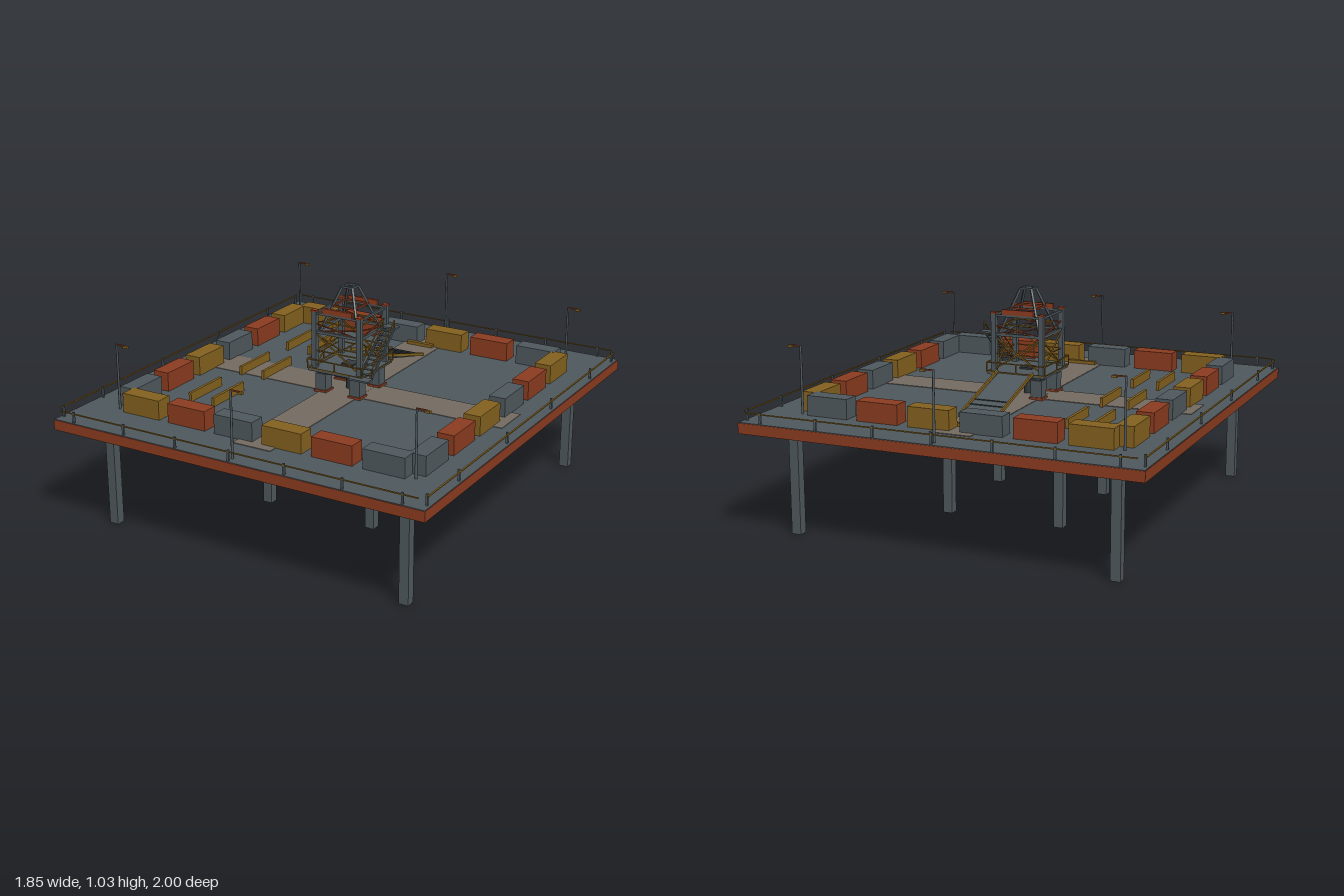
import * as THREE from 'three';

const mat = (name, color) => {
  const m = new THREE.MeshStandardMaterial({ color });
  m.name = name;
  return m;
};

export function createModel() {
  const slate = mat('slate steel', 0x4f595e);
  const rust = mat('rust paint', 0x8c3c20);
  const ochre = mat('ochre paint', 0x85621f);
  const tan = mat('tan walkway', 0x746b61);
  const dark = mat('dark steel', 0x33393c);

  const root = new THREE.Group();
  root.name = 'offshorePlatform';
  const group = (name) => {
    const g = new THREE.Group();
    g.name = name;
    root.add(g);
    return g;
  };
  const add = (g, name, geo, m) => {
    const mesh = new THREE.Mesh(geo, m);
    mesh.name = name;
    g.add(mesh);
    return mesh;
  };
  // Box given by size and centre
  const box = (g, name, m, w, h, d, x, y, z) => {
    const mesh = add(g, name, new THREE.BoxGeometry(w, h, d), m);
    mesh.position.set(x, y, z);
    return mesh;
  };
  // Square bar between two points
  const bar = (g, name, m, a, b, t, w = t) => {
    const A = new THREE.Vector3(...a), B = new THREE.Vector3(...b);
    const mesh = add(g, name, new THREE.BoxGeometry(w, t, A.distanceTo(B)), m);
    mesh.position.copy(A).lerp(B, 0.5);
    mesh.lookAt(B);
    return mesh;
  };
  const signs = [-1, 1];
  const corners = [[-1, -1], [1, -1], [1, 1], [-1, 1]];
  const sides = corners.map((c, i) => [c, corners[(i + 1) % 4]]);
  const top = 0.53;

  // Deck with its walkways and under-beams
  const deck = group('deck');
  box(deck, 'deckHull', rust, 1.85, 0.047, 2, 0, 0.5035, 0);
  box(deck, 'deckPlate', slate, 1.845, 0.004, 1.995, 0, 0.528, 0);
  box(deck, 'walkwayAlong', tan, 0.19, 0.003, 1.64, 0, 0.5315, 0);
  box(deck, 'walkwayAcross', tan, 1.64, 0.0025, 0.19, 0, 0.53125, 0);
  for (const i of [-1, 0, 1]) {
    box(deck, 'underBeamAlong', slate, 0.02, 0.01, 1.84, i * 0.55, 0.475, 0);
    box(deck, 'underBeamAcross', slate, 1.7, 0.01, 0.02, 0, 0.4745, i * 0.6);
  }

  // Support legs
  const legs = group('legs');
  for (const [sx, sz] of corners)
    for (const [x, z] of [[0.75, 0.82], [0.275, 0.275]])
      box(legs, 'leg', slate, 0.045, 0.48, 0.043, sx * x, 0.24, sz * z);

  // Edge railing
  const rail = group('edgeRailing');
  for (const s of signs) {
    box(rail, 'endRail', ochre, 1.78, 0.005, 0.005, 0, 0.572, s * 0.99);
    box(rail, 'sideRail', ochre, 0.007, 0.005, 1.92, s * 0.914, 0.572, 0);
    for (let i = -3; i <= 3; i++)
      box(rail, 'endPost', slate, 0.009, 0.05, 0.009, i * 0.273, 0.555, s * 0.988);
    for (const z of [-0.95, -0.68, -0.23, 0.23, 0.68, 0.95])
      box(rail, 'sidePost', slate, 0.009, 0.05, 0.009, s * 0.907, 0.555, z);
  }

  // Rings of containers
  const cargo = group('containers');
  const paints = [ochre, rust, slate];
  for (const s of signs)
    for (let i = 0; i < 6; i++) {
      const p = -0.615 + i * 0.246;
      box(cargo, 'container', paints[i % 3], 0.197, 0.09, 0.08, p, top + 0.045, s * 0.736);
      box(cargo, 'container', paints[i % 3], 0.08, 0.0895, 0.197, s * 0.736, top + 0.04475, p);
    }

  // Pipe racks and low barriers
  const racks = group('pipeRacks');
  for (const x of [-0.535, -0.41])
    for (const z of [-0.41, -0.005, 0.4])
      box(racks, 'rackRail', ochre, 0.014, 0.042, 0.24, x, top + 0.021, z);
  for (const s of signs) box(racks, 'barrier', ochre, 0.14, 0.018, 0.02, 0, top + 0.009, s * 0.685);

  // Lamp posts
  const lamps = group('lamps');
  for (const [x, z] of [[-0.753, -0.755], [0.75, -0.755], [-0.753, 0.75], [0.75, 0.75], [0, -0.96], [0, 0.957]]) {
    const pole = add(lamps, 'lampPole', new THREE.CylinderGeometry(0.005, 0.006, 0.305, 8), slate);
    pole.position.set(x, top + 0.1525, z);
    box(lamps, 'lampArm', rust, 0.05, 0.006, 0.006, x + 0.022, 0.833, z);
    box(lamps, 'lampHead', ochre, 0.022, 0.01, 0.015, x + 0.049, 0.829, z);
  }

  // Pedestals and work floor of the tower
  const base = group('towerBase');
  for (const [sx, sz] of corners) {
    box(base, 'pedestal', slate, 0.055, 0.09, 0.055, sx * 0.09, top + 0.045, sz * 0.09);
    box(base, 'pedestalPad', rust, 0.065, 0.012, 0.065, sx * 0.09, top + 0.006, sz * 0.09);
  }
  const well = add(base, 'wellPipe', new THREE.CylinderGeometry(0.02, 0.02, 0.1, 12), dark);
  well.position.set(0, 0.58, 0);
  box(base, 'floorBeam', dark, 0.22, 0.018, 0.22, 0, 0.629, 0);
  box(base, 'workFloor', slate, 0.28, 0.012, 0.285, 0, 0.642, 0);
  box(base, 'rotaryTable', dark, 0.06, 0.008, 0.06, 0, 0.652, 0);
  for (const [a, b] of sides) {
    const pt = (c, y) => [c[0] * 0.143, y, c[1] * 0.143];
    bar(base, 'floorRail', ochre, pt(a, 0.692), pt(b, 0.692), 0.005);
    bar(base, 'floorEdge', ochre, pt(a, 0.649), pt(b, 0.649), 0.005);
    for (const t of [0, 0.5])
      box(base, 'floorRailPost', ochre, 0.005, 0.045, 0.005,
        0.143 * (a[0] + (b[0] - a[0]) * t), 0.67, 0.143 * (a[1] + (b[1] - a[1]) * t));
  }

  // Tower columns, girts and cross bracing
  const tower = group('tower');
  for (const [sx, sz] of corners) {
    box(tower, 'column', slate, 0.024, 0.272, 0.024, sx * 0.117, 0.782, sz * 0.117);
    box(tower, 'columnCap', rust, 0.028, 0.008, 0.028, sx * 0.117, 0.92, sz * 0.117);
  }
  for (const [a, b] of sides) {
    const pt = (c, y) => [c[0] * 0.117, y, c[1] * 0.117];
    bar(tower, 'girt', slate, pt(a, 0.82), pt(b, 0.82), 0.013);
    bar(tower, 'topGirt', slate, pt(a, 0.908), pt(b, 0.908), 0.01);
    bar(tower, 'ochreGirt', ochre, pt(a, 0.73), pt(b, 0.73), 0.005);
    bar(tower, 'brace', ochre, pt(a, 0.655), pt(b, 0.812), 0.006);
    bar(tower, 'brace', ochre, pt(a, 0.812), pt(b, 0.655), 0.006);
    bar(tower, 'upperBrace', rust, pt(a, 0.82), pt(b, 0.86), 0.005);
    bar(tower, 'upperBrace', rust, pt(a, 0.86), pt(b, 0.82), 0.005);
  }
  for (const s of signs) box(tower, 'headBeam', rust, 0.155, 0.024, 0.014, 0, 0.925, s * 0.115);

  // Tapered mast
  const mast = group('mast');
  const at = (c, y) => {
    const r = THREE.MathUtils.mapLinear(y, 0.82, 1.022, 0.1, 0.027);
    return [c[0] * r, y, c[1] * r];
  };
  for (const [a, b] of sides) {
    bar(mast, 'mastLeg', slate, at(a, 0.82), at(a, 1.022), 0.01);
    bar(mast, 'mastTop', slate, at(a, 1.022), at(b, 1.022), 0.009);
    bar(mast, 'mastRing', rust, at(a, 0.935), at(b, 0.935), 0.008);
    bar(mast, 'mastLowerRing', ochre, at(a, 0.86), at(b, 0.86), 0.006);
  }

  // Stair up the side of the tower
  const stair = group('stair');
  box(stair, 'lowerLanding', slate, 0.105, 0.008, 0.05, 0.138, 0.645, 0.148);
  box(stair, 'upperLanding', slate, 0.07, 0.008, 0.045, 0.155, 0.825, -0.1);
  for (const x of [0.125, 0.185]) {
    bar(stair, 'stringer', slate, [x, 0.65, 0.125], [x, 0.825, -0.08], 0.012, 0.005);
    bar(stair, 'handrail', ochre, [x, 0.69, 0.125], [x, 0.865, -0.08], 0.005);
    for (const [y, z] of [[0.67, 0.125], [0.845, -0.08]])
      box(stair, 'handrailPost', ochre, 0.005, 0.045, 0.005, x, y, z);
  }
  for (let i = 0; i < 10; i++)
    box(stair, 'tread', slate, 0.06, 0.004, 0.015, 0.155, 0.66 + i * 0.0172, 0.113 - i * 0.0202);

  // Loading ramp behind the tower
  const ramp = group('loadingRamp');
  bar(ramp, 'rampPlate', slate, [0, 0.645, -0.14], [0, 0.538, -0.55], 0.006, 0.17);
  for (const s of signs)
    bar(ramp, 'rampRail', ochre, [s * 0.087, 0.658, -0.15], [s * 0.087, 0.543, -0.55], 0.014, 0.008);
  for (const z of [-0.4, -0.445, -0.49, -0.54])
    box(ramp, 'rampCleat', dark, 0.17, 0.005, 0.005, 0, 0.645 + (z + 0.14) * 0.261 + 0.004, z);

  return root;
}
